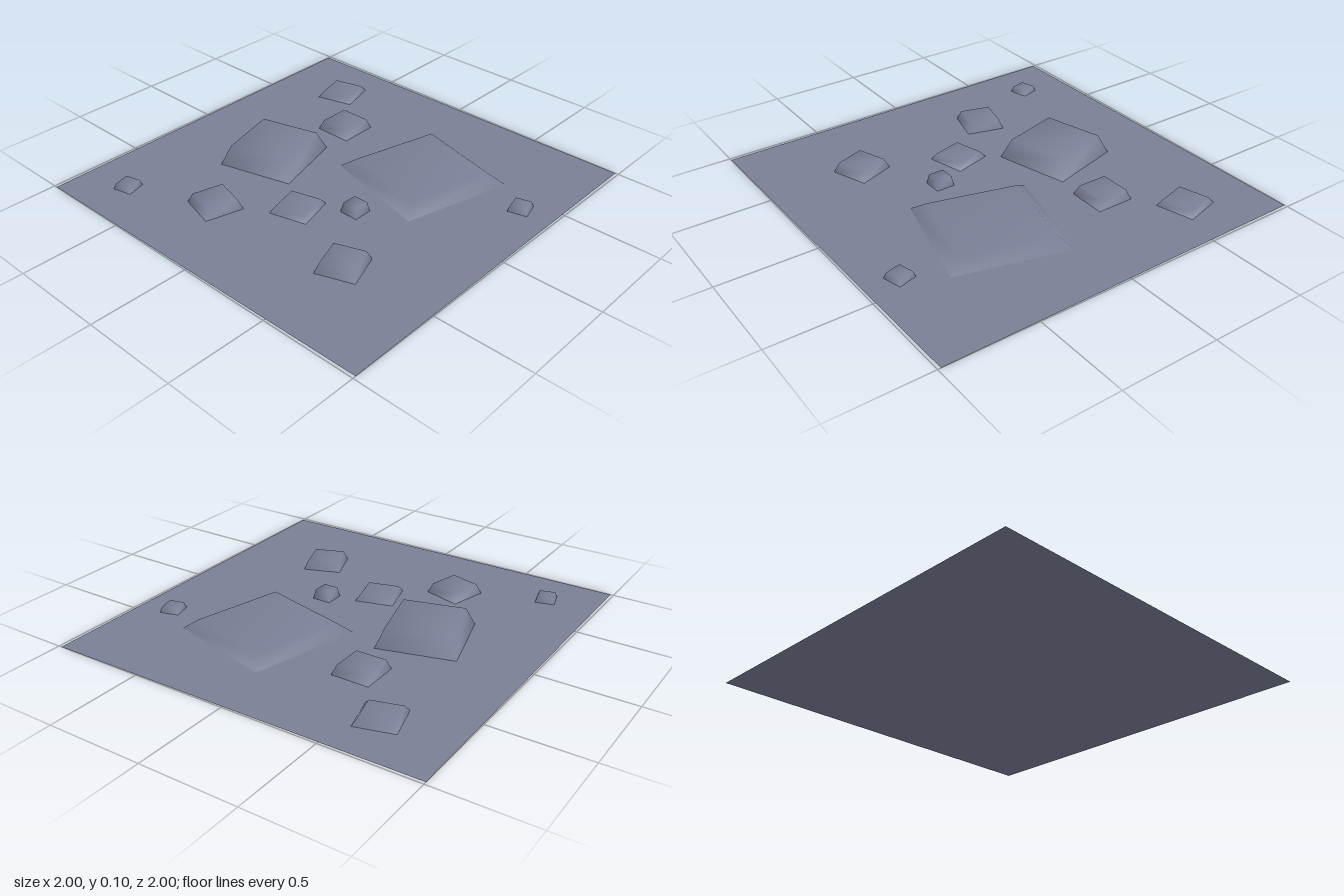
import * as THREE from 'three';

// Smooth-shaded square mound: a frustum whose faces share their corners, open underneath
function moundGeometry(side, height, taper = 0.8) {
  const positions = [];
  for (const [y, half] of [[0, side / 2], [height, side * taper / 2]]) {
    for (const [sx, sz] of [[-1, 1], [1, 1], [1, -1], [-1, -1]]) {
      positions.push(sx * half, y, sz * half);
    }
  }
  const index = [4, 5, 6, 4, 6, 7];
  for (let i = 0; i < 4; i++) {
    const j = (i + 1) % 4;
    index.push(i, j, j + 4, i, j + 4, i + 4);
  }
  const geometry = new THREE.BufferGeometry();
  geometry.setAttribute('position', new THREE.Float32BufferAttribute(positions, 3));
  geometry.setIndex(index);
  geometry.computeVertexNormals();
  return geometry;
}

export function createModel() {
  const model = new THREE.Group();
  model.name = 'rockyGround';

  const stone = new THREE.MeshStandardMaterial({ color: 0x7a7f96, side: THREE.DoubleSide });
  stone.name = 'slate grey';

  // Flat ground sheet, turned very slightly
  const ground = new THREE.Mesh(new THREE.PlaneGeometry(1.984, 1.984).rotateX(-Math.PI / 2), stone);
  ground.name = 'ground';
  ground.rotation.y = THREE.MathUtils.degToRad(0.45);
  model.add(ground);

  // Raised stones: x, z, side, height, turn in degrees
  const stones = [
    [-0.055, -0.405, 0.4, 0.1, 15],
    [0.32, 0.273, 0.595, 0.05, -14.5],
    [-0.57, -0.285, 0.2, 0.05, -15],
    [0.41, -0.335, 0.2, 0.05, 0],
    [-0.505, 0.493, 0.2, 0.05, 20],
    [0.695, -0.617, 0.2, 0.03, 15],
    [-0.318, 0.025, 0.2, 0.03, 15],
    [-0.15, 0.245, 0.1, 0.05, 0],
    [-0.756, -0.725, 0.1, 0.03, 15],
    [0.405, 0.813, 0.1, 0.03, 15],
  ];
  stones.forEach(([x, z, side, height, turn], i) => {
    const mound = new THREE.Mesh(moundGeometry(side, height), stone);
    mound.name = `stone${i + 1}`;
    mound.position.set(x, 0, z);
    mound.rotation.y = THREE.MathUtils.degToRad(turn);
    model.add(mound);
  });

  return model;
}
